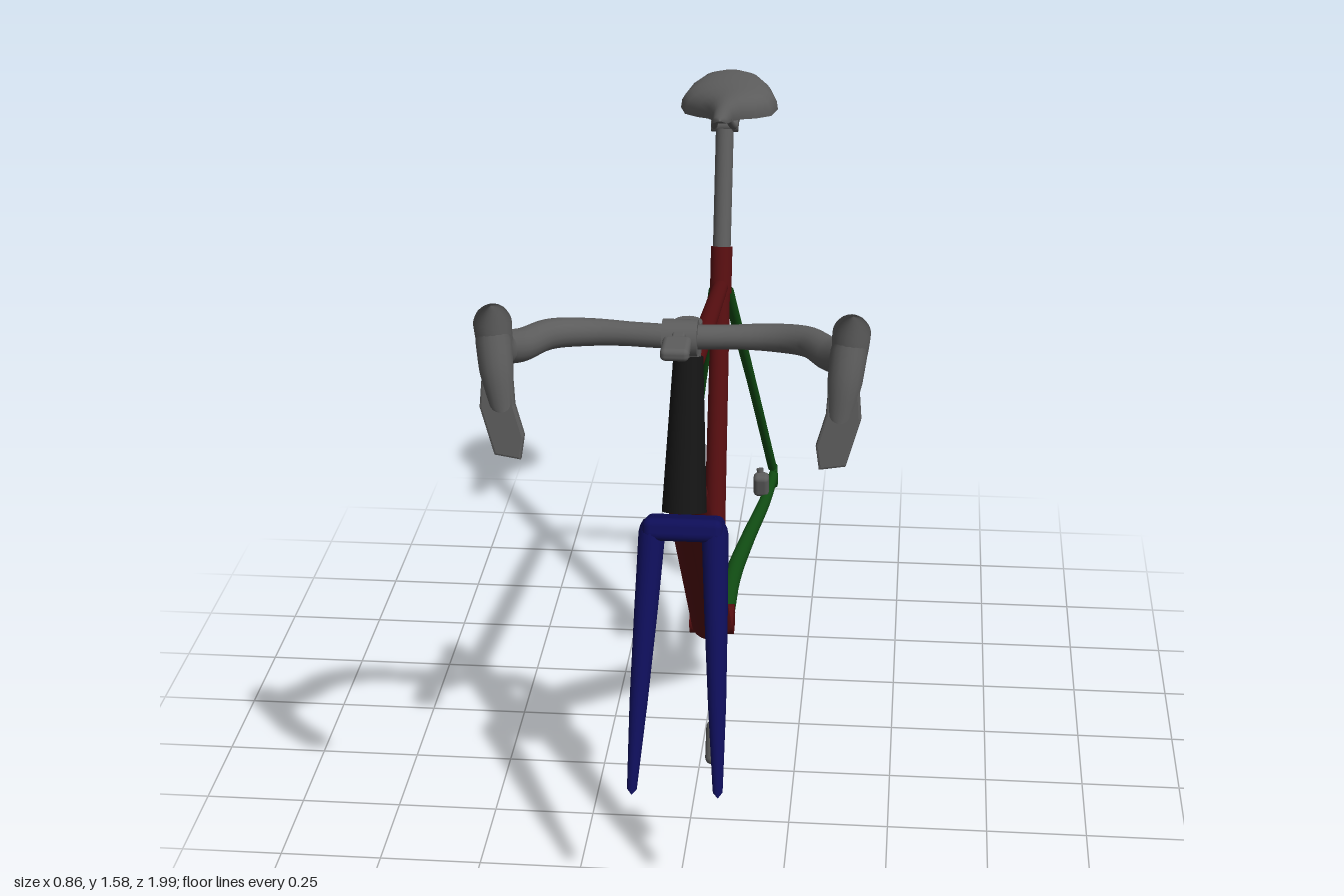
import * as THREE from 'three';
import { RoundedBoxGeometry } from 'three/addons/geometries/RoundedBoxGeometry.js';

const mat = (name, color) => {
  const m = new THREE.MeshStandardMaterial({ color });
  m.name = name;
  return m;
};

export function createModel() {
  const group = new THREE.Group();
  const red = mat('dark red', 0x560e10), green = mat('dark green', 0x104a12);
  const blue = mat('navy blue', 0x0e0e58), grey = mat('grey', 0x5c5c5c), black = mat('black', 0x141414);
  const V = (p) => new THREE.Vector3(...p);

  const add = (name, geo, material, pos = [0, 0, 0], rot = [0, 0, 0]) => {
    const m = new THREE.Mesh(geo, material);
    m.name = name;
    m.position.set(...pos);
    m.rotation.set(...rot);
    group.add(m);
    return m;
  };

  // Straight tapered tube from a (radius ra) to b (radius rb)
  const rod = (name, material, a, b, ra, rb = ra, sx = 1) => {
    const A = V(a), B = V(b), d = B.clone().sub(A);
    const m = add(name, new THREE.CylinderGeometry(rb, ra, d.length(), 28), material);
    m.position.copy(A).add(B).multiplyScalar(0.5);
    m.quaternion.setFromUnitVectors(new THREE.Vector3(0, 1, 0), d.normalize());
    m.scale.x = sx;
    return m;
  };

  // Curved tube with round ends, its radius interpolated along the path
  const sweep = (name, material, pts, radii, sx = 1, seg = 48) => {
    const curve = new THREE.CatmullRomCurve3(pts.map(V), false, 'centripetal');
    const sides = 16, len = curve.getLength();
    const geo = new THREE.TubeGeometry(curve, seg, 1, sides, false);
    const pos = geo.attributes.position, nor = geo.attributes.normal;
    for (let i = 0; i <= seg; i++) {
      const u = i / seg, c = curve.getPointAt(u);
      const k = u * (radii.length - 1), k0 = Math.min(Math.floor(k), radii.length - 2);
      let r = THREE.MathUtils.lerp(radii[k0], radii[k0 + 1], k - k0);
      const d = Math.min(u, 1 - u) * len;
      if (d < r) r *= Math.sqrt(1 - (1 - d / r) ** 2);
      for (let j = 0; j <= sides; j++) {
        const n = i * (sides + 1) + j;
        pos.setXYZ(n, c.x + nor.getX(n) * r * sx, c.y + nor.getY(n) * r, c.z + nor.getZ(n) * r);
      }
    }
    return add(name, geo, material);
  };
  const box = (name, material, size, pos, rot, r = 0.01) =>
    add(name, new RoundedBoxGeometry(...size, 3, r), material, pos, rot);

  // Main frame
  rod('headTube', black, [0, 0.938, 0.639], [0, 1.286, 0.523], 0.056, 0.037, 0.95);
  rod('downTube', red, [0, 0.225, -0.15], [0, 0.965, 0.59], 0.047, 0.044, 1.15);
  rod('seatTube', red, [0, 0.225, -0.18], [0, 1.12, -0.452], 0.03, 0.025);
  rod('seatCollar', red, [0, 1.08, -0.44], [0, 1.2, -0.476], 0.029);
  rod('topTube', red, [0, 1.1, -0.44], [0, 1.235, 0.53], 0.019, 0.024, 1.1);
  rod('bottomBracket', red, [-0.06, 0.228, -0.175], [0.06, 0.228, -0.175], 0.041);

  // Rear triangle and fork, mirrored
  for (const [s, side] of [[1, 'left'], [-1, 'right']]) {
    sweep(side + 'Chainstay', green, [[s * 0.035, 0.235, -0.2], [s * 0.042, 0.26, -0.38],
      [s * 0.07, 0.287, -0.56], [s * 0.108, 0.318, -0.76], [s * 0.125, 0.34, -0.91]],
    [0.033, 0.031, 0.026, 0.022, 0.018], 0.75);
    sweep(side + 'Seatstay', green, [[s * 0.016, 1.095, -0.45], [s * 0.07, 0.73, -0.67],
      [s * 0.122, 0.35, -0.895]], [0.016, 0.013, 0.013]);
    box(side + 'Dropout', green, [0.014, s < 0 ? 0.13 : 0.09, 0.03],
      [s * 0.127, s < 0 ? 0.3 : 0.325, s < 0 ? -0.932 : -0.915], [0.55, 0, 0], 0.006);
    sweep(side + 'ForkLeg', blue, [[s * 0.073, 0.93, 0.645], [s * 0.08, 0.78, 0.708],
      [s * 0.093, 0.52, 0.825], [s * 0.102, 0.325, 0.914]], [0.05, 0.043, 0.033, 0.017], 0.65);
  }
  box('forkCrown', blue, [0.19, 0.055, 0.112], [0, 0.9, 0.65], [-0.32, 0, 0], 0.02);

  // Seatpost and clamp
  rod('seatpost', grey, [0, 1.18, -0.473], [0, 1.5, -0.572], 0.024);
  rod('saddleClamp', grey, [-0.036, 1.51, -0.575], [0.036, 1.51, -0.575], 0.018);
  for (const s of [1, -1]) {
    sweep('saddleRail', grey, [[s * 0.015, 1.565, -0.46], [s * 0.026, 1.518, -0.54],
      [s * 0.028, 1.512, -0.62], [s * 0.045, 1.55, -0.74]], [0.009, 0.009]);
  }

  // Saddle shell: arched sections of [z, half width, top, edge]
  const sections = [[-0.402, 0.004, 1.578, 1.572], [-0.408, 0.02, 1.585, 1.565], [-0.5, 0.028, 1.585, 1.545],
    [-0.58, 0.047, 1.582, 1.525], [-0.64, 0.08, 1.58, 1.51], [-0.69, 0.118, 1.58, 1.503],
    [-0.735, 0.133, 1.583, 1.508], [-0.785, 0.112, 1.588, 1.535], [-0.822, 0.075, 1.59, 1.565],
    [-0.838, 0.03, 1.588, 1.58]];
  const half = 14, ring = half * 2, verts = [], faces = [];
  sections.forEach(([z, w, top, edge], i) => {
    for (let j = 0; j < ring; j++) {
      const t = (j / ring) * Math.PI * 2, sn = Math.abs(Math.sin(t)), h = top - edge;
      const y = j <= half ? edge + h * sn ** 0.8 : edge + Math.max(h - 0.025, 0) * sn;
      verts.push(w * Math.cos(t), y, z);
      if (i < sections.length - 1) {
        const a = i * ring + j, b = i * ring + (j + 1) % ring;
        faces.push(a, a + ring, b, b, a + ring, b + ring);
      }
    }
  });
  const saddle = new THREE.BufferGeometry();
  saddle.setAttribute('position', new THREE.Float32BufferAttribute(verts, 3));
  saddle.setIndex(faces);
  saddle.computeVertexNormals();
  add('saddle', saddle, grey);

  // Stem and computer mount
  rod('steererClamp', grey, [0, 1.275, 0.527], [0, 1.375, 0.55 - 0.02], 0.03, 0.034);
  sweep('stem', grey, [[0, 1.338, 0.5], [0, 1.365, 0.6], [0, 1.41, 0.74]], [0.034, 0.027, 0.034]);
  rod('barClamp', grey, [-0.04, 1.41, 0.72], [0.04, 1.41, 0.72], 0.042);
  box('mountArm', grey, [0.03, 0.02, 0.1], [0, 1.425, 0.78], [0.05, 0, 0], 0.006);
  box('computerMount', grey, [0.065, 0.03, 0.085], [0, 1.425, 0.825], [0.05, 0, 0], 0.012);

  // Handlebar, hoods and brake levers
  sweep('handlebar', grey, [[-0.385, 1.45, 0.905], [-0.345, 1.43, 0.845], [-0.29, 1.425, 0.76],
    [-0.2, 1.415, 0.715], [0, 1.41, 0.715], [0.2, 1.415, 0.715], [0.29, 1.425, 0.76],
    [0.345, 1.43, 0.845], [0.385, 1.45, 0.905]],
  [0.04, 0.036, 0.033, 0.028, 0.028, 0.028, 0.033, 0.036, 0.04], 1, 90);
  for (const [s, side] of [[1, 'left'], [-1, 'right']]) {
    sweep(side + 'Hood', grey, [[s * 0.365, 1.425, 0.87], [s * 0.385, 1.46, 0.92], [s * 0.393, 1.555, 0.93]],
      [0.036, 0.042, 0.047], 0.95);
    sweep(side + 'LeverBody', grey, [[s * 0.39, 1.51, 0.935], [s * 0.38, 1.42, 0.962], [s * 0.368, 1.32, 0.972]],
      [0.036, 0.033, 0.022], 1.15);
    // Lever blade, flared low and cut at a slant
    const blade = new THREE.Shape();
    blade.moveTo(0.35, 1.42);
    blade.lineTo(0.405, 1.42);
    blade.lineTo(0.412, 1.335);
    blade.lineTo(0.382, 1.23);
    blade.lineTo(0.332, 1.222);
    blade.lineTo(0.325, 1.27);
    blade.lineTo(0.345, 1.34);
    const geo = new THREE.ExtrudeGeometry(blade, {
      depth: 0.016, bevelEnabled: true, bevelSize: 0.005, bevelThickness: 0.005, bevelSegments: 2 });
    geo.translate(0, -1.32, 0);
    if (s < 0) geo.rotateY(Math.PI).translate(0, 0, 0.016);
    add(side + 'LeverBlade', geo, grey, [0, 1.32, 0.965], [-0.1, 0, 0]);
  }

  // Disc brake calipers
  box('frontCaliper', grey, [0.04, 0.105, 0.042], [0.083, 0.4, 0.782], [-0.45, 0, 0], 0.016);
  rod('frontCaliperMount', grey, [0.088, 0.445, 0.85], [0.084, 0.425, 0.785], 0.011);
  box('rearCaliper', grey, [0.045, 0.07, 0.042], [0.095, 0.365, -0.765], [0.2, 0, 0], 0.014);
  rod('rearCaliperBolt', grey, [0.095, 0.37, -0.77], [0.09, 0.41, -0.775], 0.01);

  // Front derailleur
  rod('frontMechBand', grey, [0, 0.4, -0.233], [0, 0.455, -0.25], 0.037);
  box('frontMechBody', grey, [0.085, 0.04, 0.05], [-0.02, 0.455, -0.28], [-0.2, 0, 0], 0.01);
  box('frontMechLink', grey, [0.09, 0.028, 0.05], [-0.015, 0.41, -0.28], [-0.2, 0, 0], 0.01);
  box('frontMechCage', grey, [0.012, 0.08, 0.1], [-0.062, 0.44, -0.265], [-0.2, 0, 0], 0.005);

  // Rear derailleur
  rod('rearMechKnuckle', grey, [-0.135, 0.237, -0.965], [-0.1, 0.237, -0.965], 0.028);
  sweep('rearMechLink', grey, [[-0.122, 0.235, -0.965], [-0.126, 0.21, -0.925], [-0.118, 0.21, -0.855]],
    [0.026, 0.026, 0.032], 0.7);
  rod('rearMechPivot', grey, [-0.135, 0.215, -0.855], [-0.09, 0.215, -0.855], 0.035);
  for (const x of [-0.118, -0.096]) {
    sweep('rearMechCage', grey, [[x, 0.2, -0.865], [x, 0.11, -0.86], [x, 0.025, -0.895]],
      [0.026, 0.02, 0.02], 0.22);
  }
  for (const [y, z] of [[0.165, -0.88], [0.045, -0.885]]) {
    rod('jockeyWheel', grey, [-0.113, y, z], [-0.101, y, z], 0.036);
  }
  return group;
}
